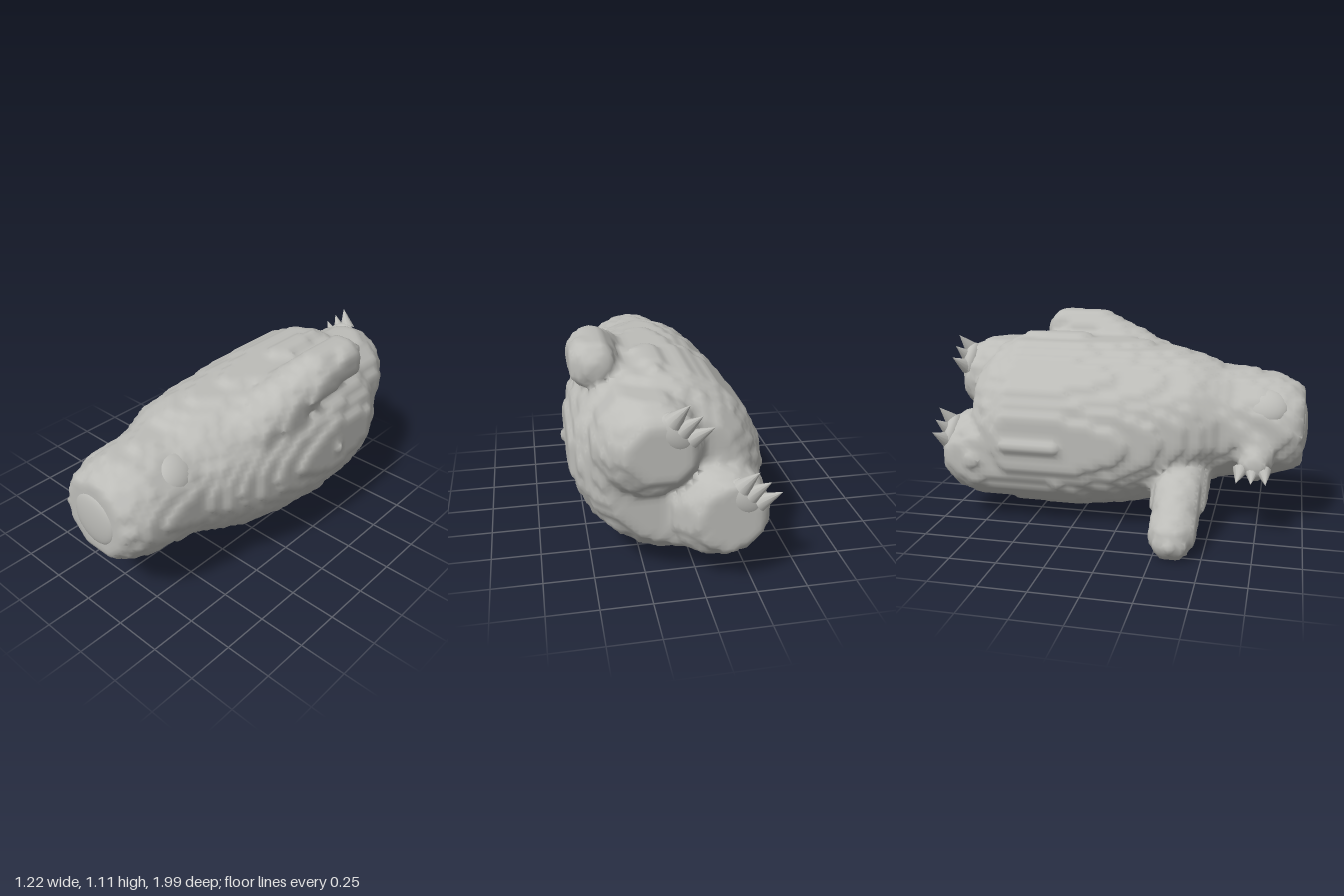
import * as THREE from 'three';

const STEP = 0.03;
const grey = new THREE.MeshStandardMaterial({ color: 0xbcbcb8 });
grey.name = 'stone grey';

// One stepped, softly bevelled skin around all solids together; returns a geometry per solid
function steppedSkins(solids, min, max) {
  const lo = min.map((v) => Math.floor(v / STEP) - 2);
  const n = max.map((v, i) => Math.ceil(v / STEP) + 2 - lo[i]);
  const stride = [1, n[0], n[0] * n[1]];
  const owner = new Uint8Array(n[0] * n[1] * n[2]);
  const each = (visit) => {
    for (let k = 1; k < n[2] - 1; k++)
      for (let j = 1; j < n[1] - 1; j++)
        for (let i = 1; i < n[0] - 1; i++) visit([i, j, k], i + j * stride[1] + k * stride[2]);
  };
  each((p, id) => {
    const at = p.map((v, a) => (v + lo[a]) * STEP);
    owner[id] = solids.findIndex((inside) => inside(...at)) + 1;
  });
  const crosses = (a, b) => !owner[a] !== !owner[b];

  const positions = [], indices = solids.map(() => []), made = new Map();
  // One point per grid cell, averaged from the cell edges the surface crosses
  const cellPoint = (p, id) => {
    if (made.has(id)) return made.get(id);
    const sum = [0, 0, 0];
    let count = 0;
    for (let corner = 0; corner < 8; corner++) {
      const d = [corner & 1, (corner >> 1) & 1, corner >> 2];
      const at = id + d[0] + d[1] * stride[1] + d[2] * stride[2];
      for (let a = 0; a < 3; a++) {
        if (d[a] || !crosses(at, at + stride[a])) continue;
        for (let b = 0; b < 3; b++) sum[b] += d[b] + (a === b ? 0.5 : 0);
        count++;
      }
    }
    positions.push(...sum.map((s, a) => (p[a] + lo[a] + s / count) * STEP));
    made.set(id, positions.length / 3 - 1);
    return made.get(id);
  };
  each((p, id) => {
    for (let a = 0; a < 3; a++) {
      const next = id + stride[a];
      if (!crosses(id, next)) continue;
      const b = (a + 1) % 3, c = (a + 2) % 3;
      const quad = [[1, 1], [0, 1], [0, 0], [1, 0]].map(([db, dc]) => {
        const q = [...p];
        q[b] -= db;
        q[c] -= dc;
        return cellPoint(q, id - db * stride[b] - dc * stride[c]);
      });
      if (!owner[id]) quad.reverse();
      indices[(owner[id] || owner[next]) - 1].push(quad[0], quad[1], quad[2], quad[0], quad[2], quad[3]);
    }
  });
  const whole = new THREE.BufferGeometry();
  whole.setAttribute('position', new THREE.Float32BufferAttribute(positions, 3));
  whole.setIndex(indices.flat());
  whole.computeVertexNormals();
  return indices.map((index) => whole.clone().setIndex(index).toNonIndexed());
}

// Solid of oval sections along z: [z, centre x, centre y, sideways radius, front-to-back radius]
// The figure lies rolled over by 45 degrees, so its sideways axis is the diagonal x = y
function sectionSolid(rows) {
  return (x, y, z) => {
    const i = rows.findIndex((r, k) => k > 0 && z <= r[0]);
    if (i < 1 || z < rows[0][0]) return false;
    const t = (z - rows[i - 1][0]) / (rows[i][0] - rows[i - 1][0]);
    const [, cx, cy, rs, rd] = rows[i].map((v, k) => THREE.MathUtils.lerp(rows[i - 1][k], v, t));
    const dx = x - cx, dy = y - cy;
    return Math.hypot((dx + dy) / rs, (dx - dy) / rd) < Math.SQRT2;
  };
}

// Solid with rounded ends that follows [x, y, z, radius] points
function limbSolid(points) {
  const p = new THREE.Vector3(), q = new THREE.Vector3();
  const lines = points.slice(1).map((b, i) => {
    const a = points[i];
    return [new THREE.Line3(new THREE.Vector3(...a), new THREE.Vector3(...b)), a[3], b[3]];
  });
  return (x, y, z) => lines.some(([line, ra, rb]) => {
    p.set(x, y, z);
    const t = line.closestPointToPointParameter(p, true);
    return line.at(t, q).distanceTo(p) < THREE.MathUtils.lerp(ra, rb, t);
  });
}

export function createModel() {
  const model = new THREE.Group();
  model.name = 'lyingFigure';
  const add = (name, geometry, parent = model) => {
    const mesh = new THREE.Mesh(geometry, grey);
    mesh.name = name;
    parent.add(mesh);
    return mesh;
  };
  const ball = new THREE.SphereGeometry(1, 28, 18);

  // Torso, head, snout and limbs
  const parts = {
    torso: sectionSolid([
      [-0.82, 0.11, 0.55, 0.36, 0.32], [-0.72, 0.11, 0.55, 0.44, 0.4],
      [-0.6, 0.11, 0.55, 0.495, 0.445], [-0.3, 0.12, 0.545, 0.505, 0.455],
      [0, 0.115, 0.55, 0.475, 0.435], [0.2, 0.11, 0.56, 0.435, 0.41],
      [0.4, 0.1, 0.585, 0.37, 0.365], [0.52, 0.1, 0.585, 0.32, 0.32],
    ]),
    head: sectionSolid([
      [0.5, 0.1, 0.585, 0.32, 0.32], [0.6, 0.11, 0.585, 0.3, 0.3],
      [0.8, 0.11, 0.585, 0.28, 0.28], [0.91, 0.1, 0.58, 0.25, 0.25],
      [0.97, 0.09, 0.575, 0.205, 0.205], [0.985, 0.09, 0.575, 0.17, 0.17],
    ]),
    snout: limbSolid([[0, 0.55, 0.74, 0.18], [-0.18, 0.435, 0.73, 0.085]]),
    leftArm: limbSolid([
      [0.34, 0.8, 0.15, 0.16], [0.435, 1.0, -0.24, 0.13], [0.445, 1.015, -0.44, 0.118],
    ]),
    rightArm: limbSolid([[-0.13, 0.31, 0.345, 0.16], [-0.49, 0.115, 0.345, 0.115]]),
    leftLeg: sectionSolid([
      [-0.975, 0.2, 0.77, 0.15, 0.15], [-0.9, 0.22, 0.745, 0.215, 0.215],
      [-0.8, 0.24, 0.735, 0.255, 0.255], [-0.55, 0.25, 0.735, 0.255, 0.255],
    ]),
    rightLeg: sectionSolid([
      [-0.975, -0.13, 0.41, 0.16, 0.16], [-0.9, -0.105, 0.395, 0.215, 0.215],
      [-0.8, -0.08, 0.39, 0.255, 0.255], [-0.55, -0.06, 0.39, 0.255, 0.255],
    ]),
  };
  const skins = steppedSkins(Object.values(parts), [-0.65, -0.05, -1], [0.65, 1.2, 1]);
  Object.keys(parts).forEach((name, i) => add(name, skins[i]));

  // Crown of the head
  const crown = add('crown', ball);
  crown.position.set(0.09, 0.575, 0.967);
  crown.scale.set(0.14, 0.14, 0.03);

  // Eyes, barely raised from the head
  for (const [name, x, y, z, angle] of [
    ['leftEye', 0.275, 0.75, 0.62, 45], ['rightEye', -0.07, 0.71, 0.77, 140],
  ]) {
    const eye = add(name, ball);
    eye.position.set(x, y, z);
    eye.rotation.z = THREE.MathUtils.degToRad(angle);
    eye.scale.set(0.075, 0.11, 0.13);
  }

  // Cone spikes fanned sideways from a base point
  const spikes = (parent, name, base, direction, side, length, radius) => {
    const dir = new THREE.Vector3(...direction).normalize();
    const sideways = new THREE.Vector3(...side).normalize();
    for (const i of [-1, 0, 1]) {
      const aim = dir.clone().addScaledVector(sideways, i * 0.15).normalize();
      const spike = add(name, new THREE.ConeGeometry(radius, length, 10, 1, true), parent);
      spike.position.set(...base).addScaledVector(sideways, i * 0.06).addScaledVector(aim, length / 2);
      spike.quaternion.setFromUnitVectors(new THREE.Vector3(0, 1, 0), aim);
    }
  };

  // Feet with three toes each
  for (const [name, x, y] of [['leftFoot', 0.13, 0.85], ['rightFoot', -0.19, 0.5]]) {
    const foot = new THREE.Group();
    foot.name = name;
    model.add(foot);
    const sole = add('sole', ball, foot);
    sole.position.set(x, y, -0.93);
    sole.rotation.z = Math.PI / 4;
    sole.scale.set(0.11, 0.09, 0.055);
    spikes(foot, 'toe', [x - 0.02, y + 0.02, -0.95], [-0.6, 0.6, -0.35], [1, 1, 0], 0.125, 0.045);
  }

  // Small pointed tips on the snout
  spikes(model, 'snoutTip', [-0.22, 0.41, 0.72], [-1, -0.5, 0], [0, 0, 1], 0.1, 0.04);
  return model;
}
